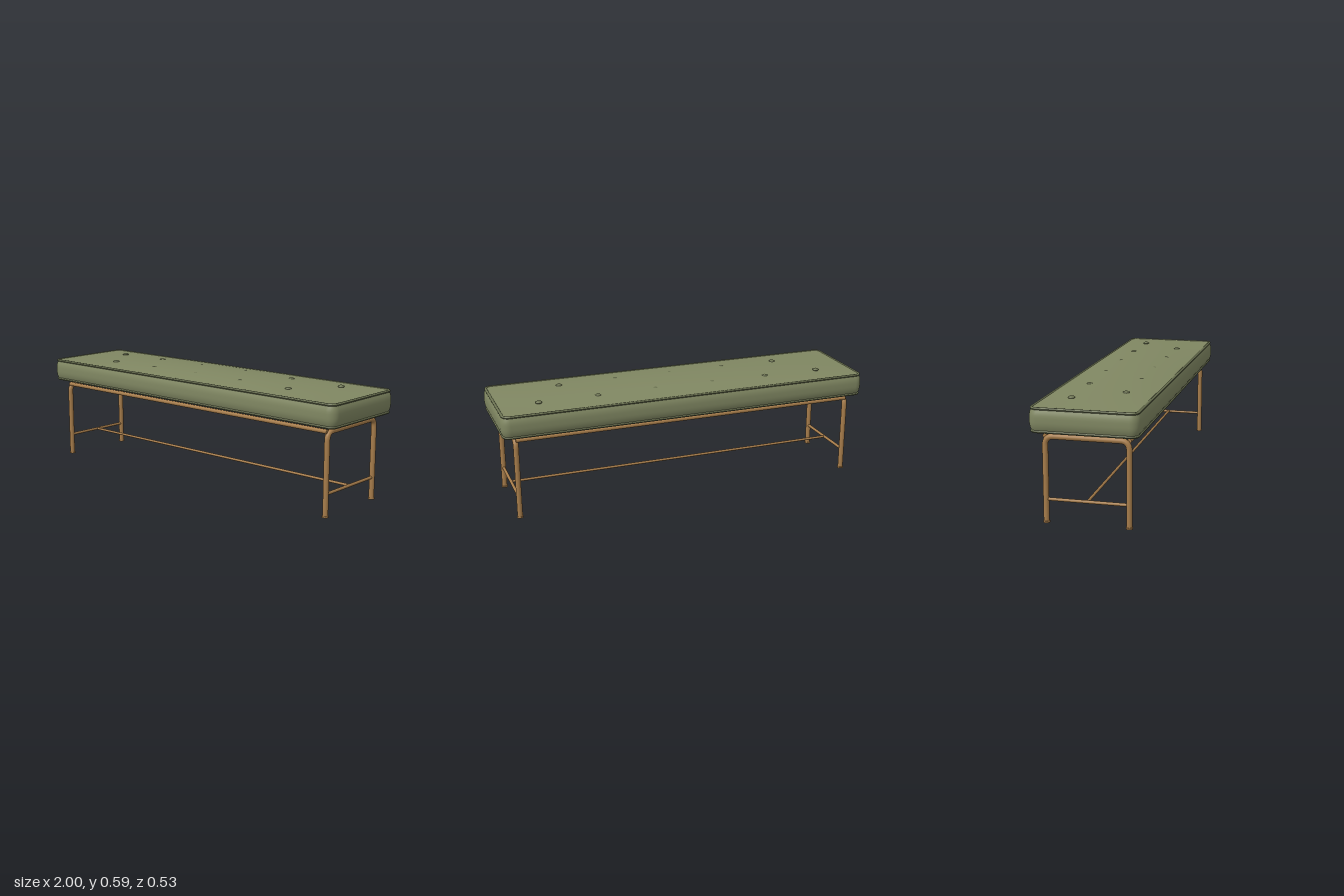
import * as THREE from 'three';

const HX = 1, HZ = 0.263;            // half size of the cushion at its widest
const EDGE = 0.012;                  // inset of the piped edges
const Y_LOW = 0.455, Y_HIGH = 0.563; // heights of the two piped edges

// Rounded rectangle inset by d, with subdivided sides, as [x, z] pairs
function outline(d) {
  const hx = HX - d, hz = HZ - d, r = 0.045 - d, pts = [];
  const corners = [[1, 1], [-1, 1], [-1, -1], [1, -1]];
  corners.forEach(([sx, sz], k) => {
    const arc = [];
    for (let i = 0; i <= 6; i++) {
      const a = (k + i / 6) * Math.PI / 2;
      arc.push([sx * (hx - r) + r * Math.cos(a), sz * (hz - r) + r * Math.sin(a)]);
    }
    pts.push(...arc);
    const long = k % 2 === 0, n = long ? 24 : 8;
    const [x, z] = arc[6];
    for (let i = 1; i < n; i++) {
      const t = 1 - 2 * i / n;
      pts.push(long ? [sx * t * (hx - r), z] : [x, sz * t * (hz - r)]);
    }
  });
  return pts;
}

// Skin over a stack of closed rings of [x, y, z] points
function loft(rings) {
  const n = rings[0].length, index = [];
  for (let j = 0; j < rings.length - 1; j++) {
    for (let i = 0; i < n; i++) {
      const a = j * n + i, b = j * n + (i + 1) % n;
      index.push(a, a + n, b, b, a + n, b + n);
    }
  }
  const geo = new THREE.BufferGeometry();
  geo.setAttribute('position', new THREE.Float32BufferAttribute(rings.flat(2), 3));
  geo.setIndex(index);
  geo.computeVertexNormals();
  return geo;
}

const ring = (d, y) => outline(d).map(([x, z]) => [x, y, z]);

// Domed panel filling a piped edge; side is +1 for the top, -1 for the underside
function crownedPanel(y, side, rise) {
  const rings = [];
  for (let i = 0; i <= 10; i++) {
    const s = side > 0 ? 1 - i / 10 : i / 10;
    rings.push(outline(EDGE).map(([x, z]) => {
      const u = s * x / (HX - EDGE), v = s * z / (HZ - EDGE);
      return [s * x, y + side * rise * (1 - u * u) * (1 - v * v), s * z];
    }));
  }
  return loft(rings);
}

function piping(y) {
  const rings = [];
  for (let i = 0; i <= 10; i++) {
    const a = i / 10 * Math.PI * 2;
    rings.push(ring(EDGE - 0.007 * Math.cos(a), y + 0.007 * Math.sin(a)));
  }
  return loft(rings);
}

export function createModel() {
  const model = new THREE.Group();
  model.name = 'bench';
  const fabric = new THREE.MeshStandardMaterial({ color: 0x808762 });
  const trim = new THREE.MeshStandardMaterial({ color: 0x6c7352 });
  const brass = new THREE.MeshStandardMaterial({ color: 0xa67c4a });

  const add = (parent, name, geo, mat, x = 0, y = 0, z = 0) => {
    const mesh = new THREE.Mesh(geo, mat);
    mesh.name = name;
    mesh.position.set(x, y, z);
    parent.add(mesh);
    return mesh;
  };

  // Cushion: bulging side band, domed panels and piping
  const cushion = new THREE.Group();
  cushion.name = 'cushion';
  model.add(cushion);
  const band = [[EDGE, Y_LOW], [0.004, 0.472], [0.001, 0.488], [0, 0.5], [0, 0.52],
    [0.001, 0.532], [0.004, 0.547], [EDGE, Y_HIGH]];
  add(cushion, 'sideBand', loft(band.map(([d, y]) => ring(d, y))), fabric);
  add(cushion, 'topPanel', crownedPanel(0.566, 1, 0.021), fabric);
  add(cushion, 'underside', crownedPanel(0.453, -1, 0.018), fabric);
  add(cushion, 'topPiping', piping(Y_HIGH), trim);
  add(cushion, 'bottomPiping', piping(Y_LOW), trim);

  // Two staggered rows of buttons, sunk deeper toward the middle
  const buttonGeo = new THREE.SphereGeometry(0.017, 16, 10);
  const rows = [[-0.115, [-0.78, -0.47, -0.16, 0.16, 0.47, 0.78]],
    [0.11, [-0.62, -0.31, 0, 0.31, 0.62]]];
  for (const [z, xs] of rows) {
    for (const x of xs) add(cushion, 'button', buttonGeo, trim, x, 0.5755, z).scale.y = 0.5;
  }

  // Frame: a bent tube arch at each end, with feet and a cross bar
  const frame = new THREE.Group();
  frame.name = 'frame';
  model.add(frame);
  const LEG_X = 0.925, LEG_Z = 0.201, TOP = 0.42, BEND = 0.042;
  const p = (y, z) => new THREE.Vector3(0, y, z);
  const path = new THREE.CurvePath();
  path.add(new THREE.LineCurve3(p(0.004, LEG_Z), p(TOP - BEND, LEG_Z)));
  path.add(new THREE.QuadraticBezierCurve3(p(TOP - BEND, LEG_Z), p(TOP, LEG_Z), p(TOP, LEG_Z - BEND)));
  path.add(new THREE.LineCurve3(p(TOP, LEG_Z - BEND), p(TOP, BEND - LEG_Z)));
  path.add(new THREE.QuadraticBezierCurve3(p(TOP, BEND - LEG_Z), p(TOP, -LEG_Z), p(TOP - BEND, -LEG_Z)));
  path.add(new THREE.LineCurve3(p(TOP - BEND, -LEG_Z), p(0.004, -LEG_Z)));
  const archGeo = new THREE.TubeGeometry(path, 120, 0.014, 16);
  const footGeo = new THREE.CylinderGeometry(0.0165, 0.0165, 0.008, 20);
  const crossGeo = new THREE.CylinderGeometry(0.008, 0.008, LEG_Z * 2, 12).rotateX(Math.PI / 2);
  const railGeo = new THREE.CylinderGeometry(0.011, 0.011, LEG_X * 2, 12).rotateZ(Math.PI / 2);
  for (const s of [-1, 1]) {
    add(frame, 'legArch', archGeo, brass, s * LEG_X);
    add(frame, 'crossBar', crossGeo, brass, s * LEG_X, 0.115);
    add(frame, 'seatRail', railGeo, brass, 0, 0.421, s * LEG_Z);
    for (const t of [-1, 1]) add(frame, 'foot', footGeo, brass, s * LEG_X, 0.004, t * LEG_Z);
  }

  // Long stretcher joining the cross bars
  add(frame, 'stretcher', new THREE.CylinderGeometry(0.007, 0.007, LEG_X * 2, 12).rotateZ(Math.PI / 2),
    brass, 0, 0.115, 0);

  return model;
}
